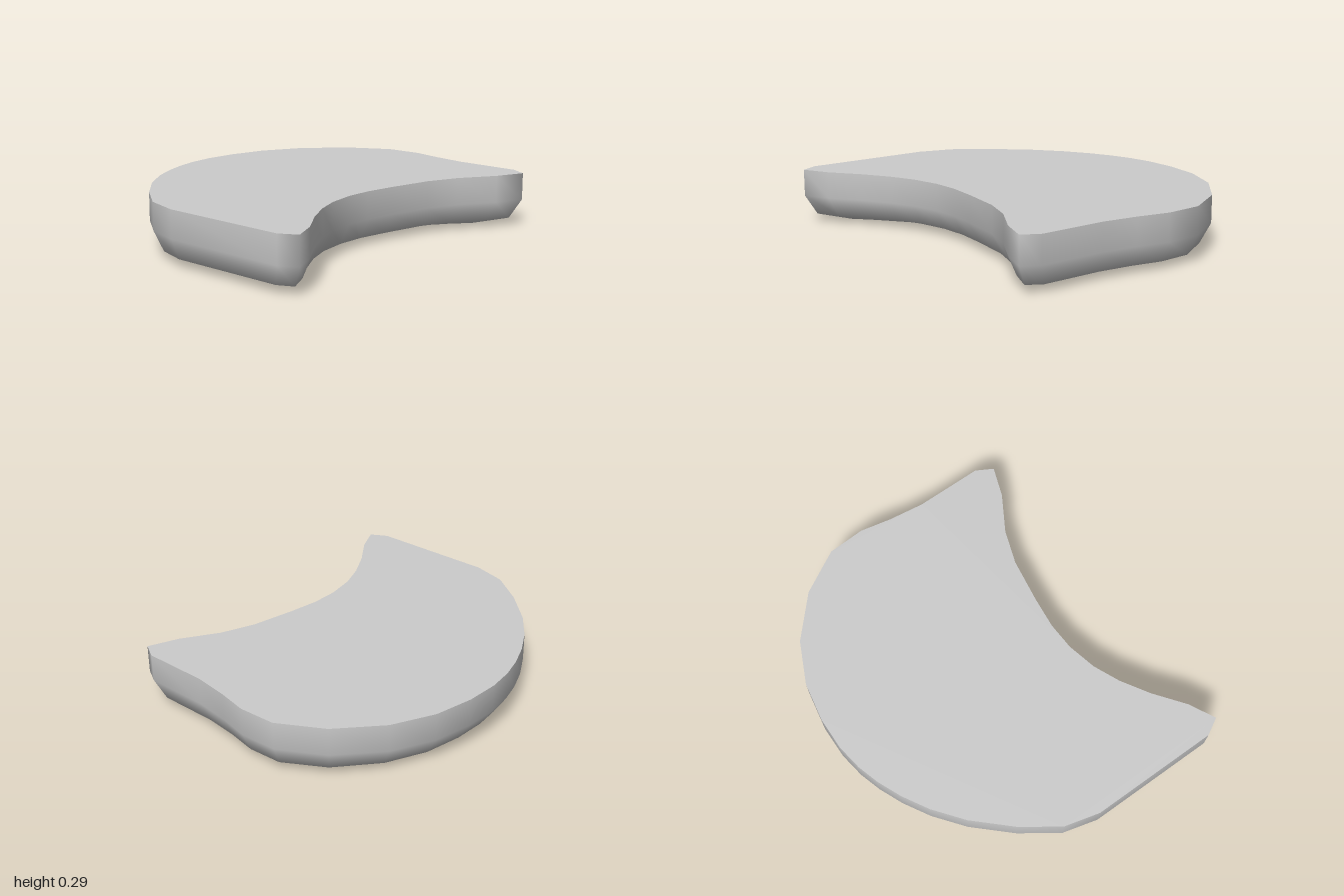
import * as THREE from 'three';

// Crescent rim in plan (x, z), running from the front tip along the hollow side
const RIM = [
  [0.83, 0.95], [0.76, 0.81], [0.64, 0.65], [0.55, 0.5], [0.49, 0.36], [0.455, 0.2], [0.45, 0.05], [0.47, -0.12],
  [0.51, -0.36], [0.575, -0.54], [0.69, -0.73], [0.75, -0.89], [0.66, -0.94], [0.3, -0.94], [0.11, -0.965],
  [-0.06, -1], [-0.26, -0.99], [-0.49, -0.86], [-0.68, -0.65], [-0.785, -0.43], [-0.825, -0.22], [-0.83, -0.04],
  [-0.81, 0.1], [-0.775, 0.22], [-0.72, 0.35], [-0.64, 0.49], [-0.52, 0.645], [-0.34, 0.815], [-0.15, 0.95],
  [0.04, 1], [0.74, 1],
];
// Matching points of the smaller flat base
const BASE = [
  [0.6, 0.83], [0.54, 0.77], [0.47, 0.68], [0.38, 0.56], [0.31, 0.42], [0.27, 0.23], [0.26, 0.05], [0.28, -0.13],
  [0.32, -0.39], [0.38, -0.56], [0.45, -0.67], [0.52, -0.75], [0.48, -0.78], [0.25, -0.78], [0.07, -0.79],
  [-0.06, -0.81], [-0.19, -0.8], [-0.34, -0.7], [-0.46, -0.52], [-0.52, -0.35], [-0.54, -0.18], [-0.54, -0.03],
  [-0.53, 0.09], [-0.5, 0.19], [-0.47, 0.29], [-0.41, 0.41], [-0.32, 0.54], [-0.2, 0.68], [-0.04, 0.79],
  [0.07, 0.84], [0.55, 0.84],
];
// Section of the wall: [height, how far from rim to base]
const SECTION = [[0.29, 0], [0.145, 0], [0.04, 0.25], [0, 1]];
const N = RIM.length;

const ring = ([y, t]) => RIM.flatMap(([x, z], i) => [
  THREE.MathUtils.lerp(x, BASE[i][0], t), y, THREE.MathUtils.lerp(z, BASE[i][1], t),
]);

const capFaces = (points) =>
  THREE.ShapeUtils.triangulateShape(points.map(([x, z]) => new THREE.Vector2(x, -z)), []);

function makeMesh(name, positions, index) {
  const geometry = new THREE.BufferGeometry();
  geometry.setAttribute('position', new THREE.Float32BufferAttribute(positions, 3));
  geometry.setIndex(index);
  geometry.computeVertexNormals();
  const mesh = new THREE.Mesh(geometry, new THREE.MeshStandardMaterial({ color: 0xcccccc }));
  mesh.name = name;
  return mesh;
}

export function createModel() {
  const group = new THREE.Group();
  group.name = 'crescentSlab';

  // Walls and underside share vertices, so they blend smoothly
  const index = [];
  for (let r = 0; r < SECTION.length - 1; r++) {
    for (let i = 0; i < N; i++) {
      const a = r * N + i, b = r * N + (i + 1) % N;
      index.push(a, a + N, b + N, a, b + N, b);
    }
  }
  const last = (SECTION.length - 1) * N;
  for (const [a, b, c] of capFaces(BASE)) index.push(last + a, last + c, last + b);
  group.add(makeMesh('roundedBody', SECTION.flatMap(ring), index));

  // Flat top with a crisp edge
  group.add(makeMesh('topFace', ring(SECTION[0]), capFaces(RIM).flat()));
  return group;
}
